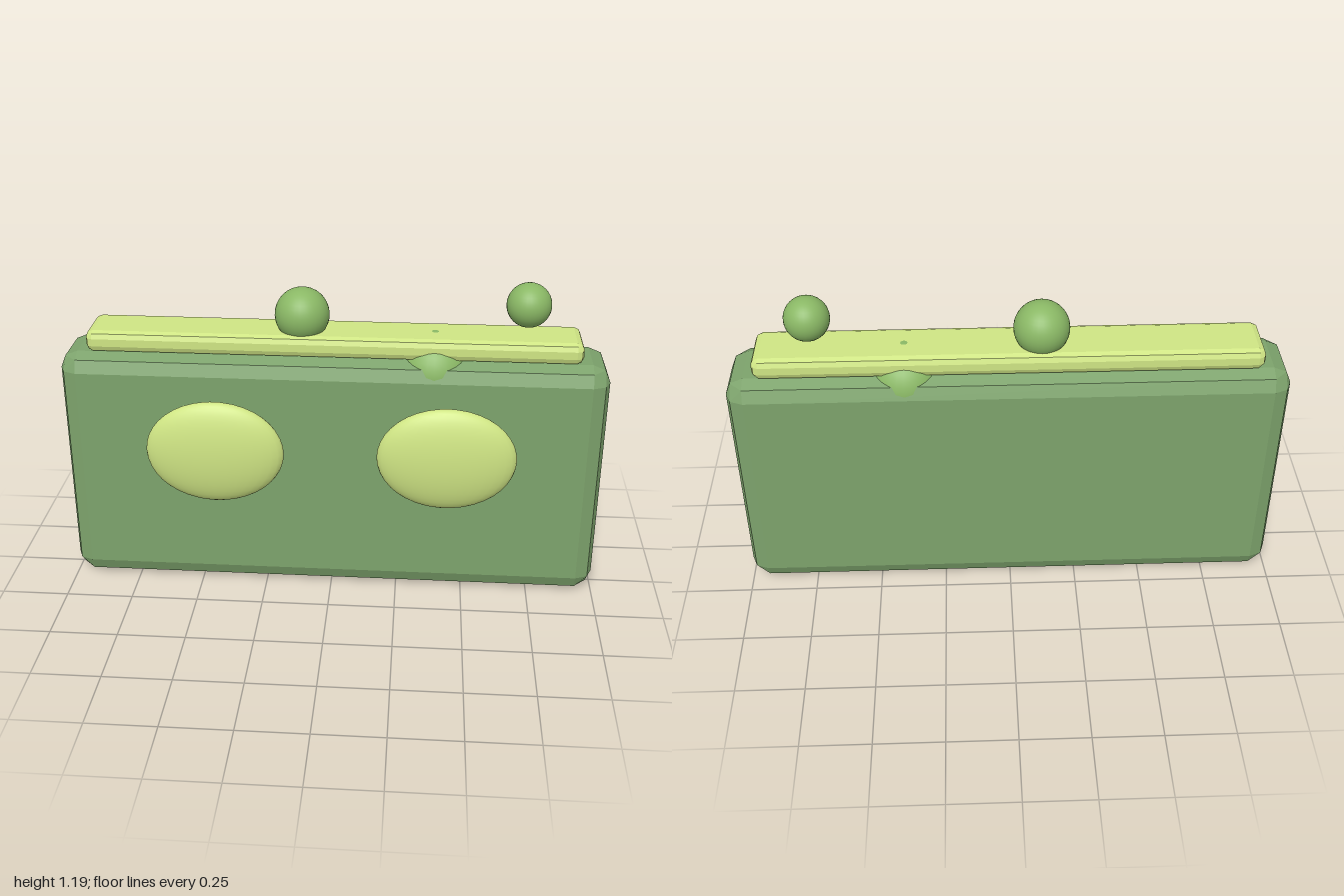
import * as THREE from 'three';
import { ConvexGeometry } from 'three/addons/geometries/ConvexGeometry.js';

const bodyGreen = new THREE.MeshStandardMaterial({ color: 0x7da36c, flatShading: true });
const ballGreen = new THREE.MeshStandardMaterial({ color: 0x8ab865 });
const paleFlat = new THREE.MeshStandardMaterial({ color: 0xcfe584, flatShading: true });
const paleSmooth = new THREE.MeshStandardMaterial({ color: 0xcfe584 });

// Box whose edges are rounded in two facets
function facetedBox(w, h, d, r) {
  const k = Math.SQRT1_2;
  const normals = [[1, 0, 0], [0, 1, 0], [0, 0, 1], [k, k, 0], [k, 0, k], [0, k, k]];
  const points = [];
  for (const sx of [-1, 1]) for (const sy of [-1, 1]) for (const sz of [-1, 1])
    for (const [nx, ny, nz] of normals)
      points.push(new THREE.Vector3(
        sx * (w / 2 - r + nx * r), sy * (h / 2 - r + ny * r), sz * (d / 2 - r + nz * r)));
  return new ConvexGeometry(points);
}

export function createModel() {
  const group = new THREE.Group();
  const add = (name, geometry, material, x, y, z) => {
    const mesh = new THREE.Mesh(geometry, material);
    mesh.name = name;
    mesh.position.set(x, y, z);
    group.add(mesh);
    return mesh;
  };
  const ball = (name, r, x, y) =>
    add(name, new THREE.SphereGeometry(r, 32, 20), ballGreen, x, y, -0.05);

  // Main slab and the strip on top of it
  add('body', facetedBox(2, 0.92, 0.3, 0.065), bodyGreen, 0, 0.46, -0.05);
  add('topStrip', facetedBox(1.8, 0.08, 0.21, 0.026), paleFlat, 0, 0.96, -0.05);

  // Oval eyes on the front
  for (const side of [-1, 1]) {
    const eye = add(side > 0 ? 'leftEye' : 'rightEye',
      new THREE.SphereGeometry(1, 32, 20), paleSmooth, side * 0.425, 0.575, 0.136);
    eye.scale.set(0.255, 0.2, 0.062);
  }

  // Balls along the top; the largest is mostly sunk into the body
  ball('middleBall', 0.1, -0.115, 1.053);
  ball('smallBall', 0.081, 0.7, 1.11);
  ball('sunkenBall', 0.146, 0.37, 0.855);

  return group;
}
